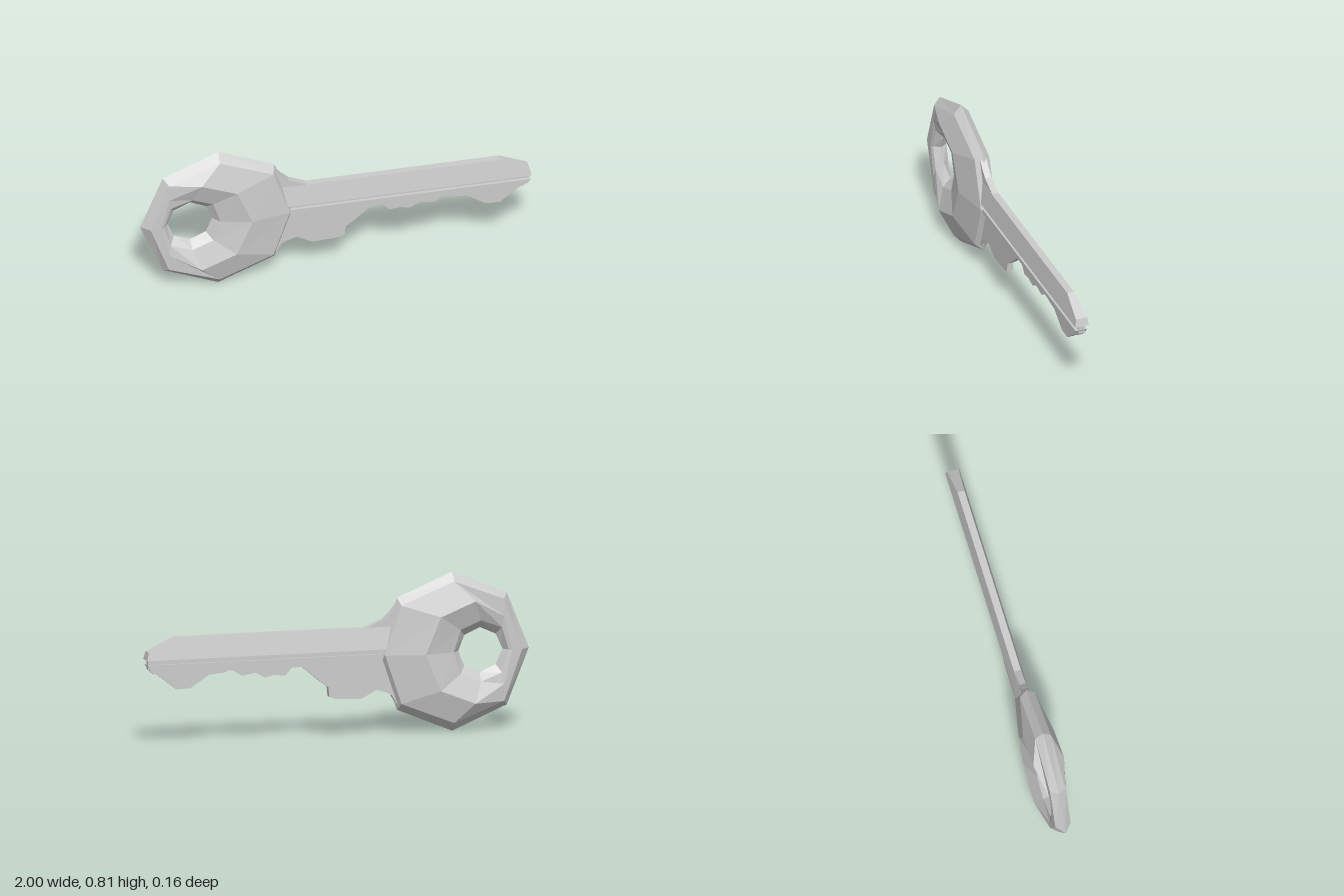
import * as THREE from 'three';

const MID = 0.405; // height of the key's long axis

export function createModel() {
  const key = new THREE.Group();
  key.name = 'key';
  const material = new THREE.MeshStandardMaterial({ color: 0xcccccc, flatShading: true });
  const add = (name, geometry) => {
    const mesh = new THREE.Mesh(geometry, material);
    mesh.name = name;
    key.add(mesh);
  };

  // Flat outline given thickness halfWidth(y) on both sides of z = 0
  const plate = (points, halfWidth, shift = 0) => {
    const shape = new THREE.Shape(points.map(([x, y]) => new THREE.Vector2(x, y)));
    const g = new THREE.ExtrudeGeometry(shape, { depth: 1, bevelEnabled: false });
    const p = g.attributes.position;
    for (let i = 0; i < p.count; i++) {
      p.setZ(i, (p.getZ(i) > 0.5 ? 1 : -1) * halfWidth(p.getY(i)) + shift);
    }
    g.computeVertexNormals();
    return g;
  };

  // Head: upper half of each octagonal ring, right to left, as [x, height above axis, z]
  const hole = [[-0.632, 0, 0], [-0.663, 0.078, 0], [-0.745, 0.115, 0], [-0.827, 0.078, 0], [-0.862, 0, 0]];
  const lip = [[-0.597, 0, 0.04], [-0.633, 0.112, 0.04], [-0.74, 0.155, 0.04], [-0.85, 0.115, 0.036], [-0.885, 0, 0.036]];
  const crown = [[-0.44, 0, 0.08], [-0.52, 0.188, 0.08], [-0.7, 0.26, 0.08], [-0.86, 0.172, 0.043], [-0.902, 0, 0.042]];
  const shoulder = [[-0.24, 0, 0.04], [-0.325, 0.25, 0.04], [-0.6, 0.36, 0.04], [-0.86, 0.26, 0.04], [-0.955, 0, 0.04]];
  const rim = [[-0.215, 0, 0], [-0.312, 0.285, 0], [-0.6, 0.405, 0], [-0.885, 0.285, 0], [-1, 0, 0]];
  const fullRing = (half, side) => {
    const lower = half.slice(1, 4).reverse().map(([x, h, z]) => [x, -h, z]);
    return [...half, ...lower].map(([x, h, z]) => [x, MID + h, z * side]);
  };
  const rings = [
    ...[hole, lip, crown, shoulder, rim].map((r) => fullRing(r, 1)),
    ...[shoulder, crown, lip].map((r) => fullRing(r, -1)),
  ];
  const positions = [];
  for (let j = 0; j < 8; j++) {
    for (let i = 0; i < 8; i++) {
      const a = rings[j][i], b = rings[(j + 1) % 8][i];
      const c = rings[(j + 1) % 8][(i + 1) % 8], d = rings[j][(i + 1) % 8];
      positions.push(...a, ...b, ...c, ...a, ...c, ...d);
    }
  }
  const head = new THREE.BufferGeometry();
  head.setAttribute('position', new THREE.Float32BufferAttribute(positions, 3));
  head.computeVertexNormals();
  add('head', head);

  // Upper blade: wedge section, narrow along the top edge, with a chamfered tip
  add('upperBlade', plate(
    [[-0.3, 0.437], [1, 0.437], [0.99, 0.478], [0.845, 0.548], [-0.3, 0.548]],
    (y) => THREE.MathUtils.mapLinear(y, 0.437, 0.548, 0.037, 0.018),
  ));

  // Groove floor and the guide rib below it
  add('grooveCore', plate([[-0.3, 0.365], [0.96, 0.365], [0.99, 0.39], [0.99, 0.44], [-0.3, 0.44]], () => 0.016));
  add('guideRib', plate([[-0.3, 0.39], [0.98, 0.39], [0.995, 0.413], [-0.3, 0.413]], () => 0.03, 0.003));

  // Toothed lower blade
  add('teeth', plate([
    [-0.32, 0.4], [-0.32, 0.15], [-0.305, 0.155], [-0.28, 0.2], [-0.25, 0.215], [-0.2, 0.23],
    [-0.155, 0.205], [-0.12, 0.187], [0.01, 0.193], [0.045, 0.205], [0.05, 0.255], [0.09, 0.285],
    [0.19, 0.37], [0.235, 0.37], [0.275, 0.325], [0.33, 0.332], [0.38, 0.32], [0.43, 0.348],
    [0.5, 0.335], [0.555, 0.37], [0.6, 0.355], [0.67, 0.35], [0.77, 0.285], [0.84, 0.283],
    [0.99, 0.4],
  ], () => 0.016));

  // Flared top of the neck
  add('neckFlare', plate(
    [[-0.33, 0.53], [-0.15, 0.53], [-0.15, 0.549], [-0.24, 0.588], [-0.28, 0.625], [-0.31, 0.66], [-0.33, 0.66]],
    () => 0.017,
  ));

  return key;
}
